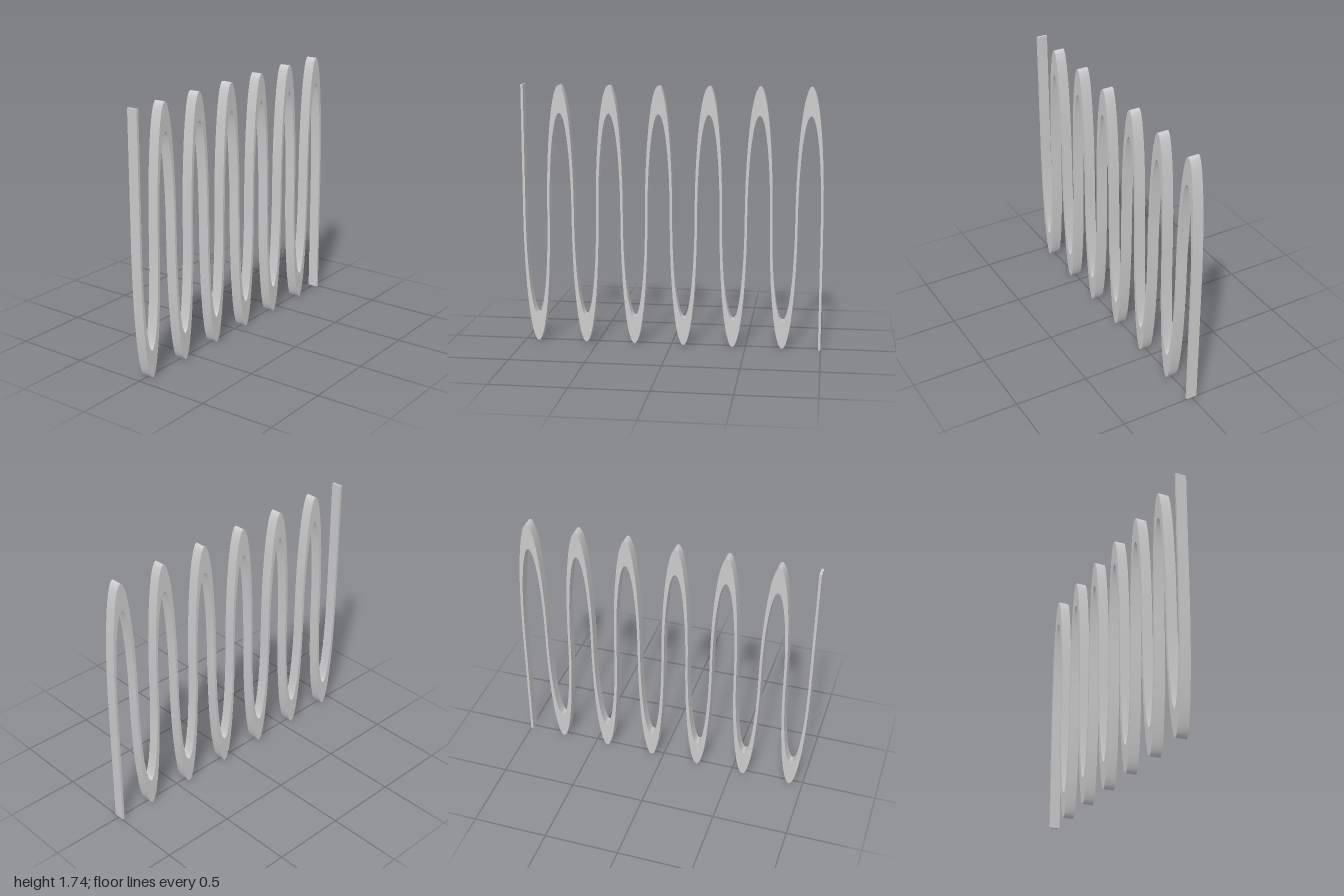
import * as THREE from 'three';
import { toCreasedNormals } from 'three/addons/utils/BufferGeometryUtils.js';

const HEIGHT = 1.74, MID = HEIGHT / 2, DEPTH = 0.072;
const WIDTH = 0.0166;                  // thickness of the upright runs
const BENDS = 12, SEGMENTS = 24;
const PITCH = (2 - WIDTH) / BENDS;     // spacing of neighbouring runs
const OUTER = { rx: (PITCH + WIDTH) / 2, ry: MID };
const INNER = { rx: (PITCH - WIDTH) / 2, ry: 0.685 };

// One edge of the strip: alternating half-ellipses, troughs first
function edge(troughSize, peakSize) {
  const points = [];
  for (let i = 0; i < BENDS; i++) {
    const isPeak = i % 2 === 1;
    const { rx, ry } = isPeak ? peakSize : troughSize;
    const cx = -1 + WIDTH / 2 + PITCH * (i + 0.5);
    for (let k = i === 0 ? 0 : 1; k <= SEGMENTS; k++) {
      const a = (Math.PI * k) / SEGMENTS;
      const y = MID + (isPeak ? 1 : -1) * ry * Math.sin(a);
      points.push(new THREE.Vector2(cx - rx * Math.cos(a), y));
    }
  }
  return points;
}

export function createModel() {
  const group = new THREE.Group();
  group.name = 'serpentineSpring';

  // Upper and lower edges, with a straight tail up on the left and down on the right
  const upper = edge(INNER, OUTER);
  const lower = edge(OUTER, INNER);
  const outline = [
    new THREE.Vector2(-1, HEIGHT),
    ...lower,
    new THREE.Vector2(1 - WIDTH, 0),
    new THREE.Vector2(1, 0),
    ...upper.reverse(),
    new THREE.Vector2(-1 + WIDTH, HEIGHT),
  ];

  // Flat strip extruded to its depth
  const geometry = new THREE.ExtrudeGeometry(new THREE.Shape(outline), {
    depth: DEPTH,
    bevelEnabled: false,
  });
  geometry.translate(0, 0, -DEPTH / 2);
  const strip = new THREE.Mesh(
    toCreasedNormals(geometry, 0.9),
    new THREE.MeshStandardMaterial({ color: 0xcccccc })
  );
  strip.name = 'wavyStrip';
  group.add(strip);
  return group;
}
